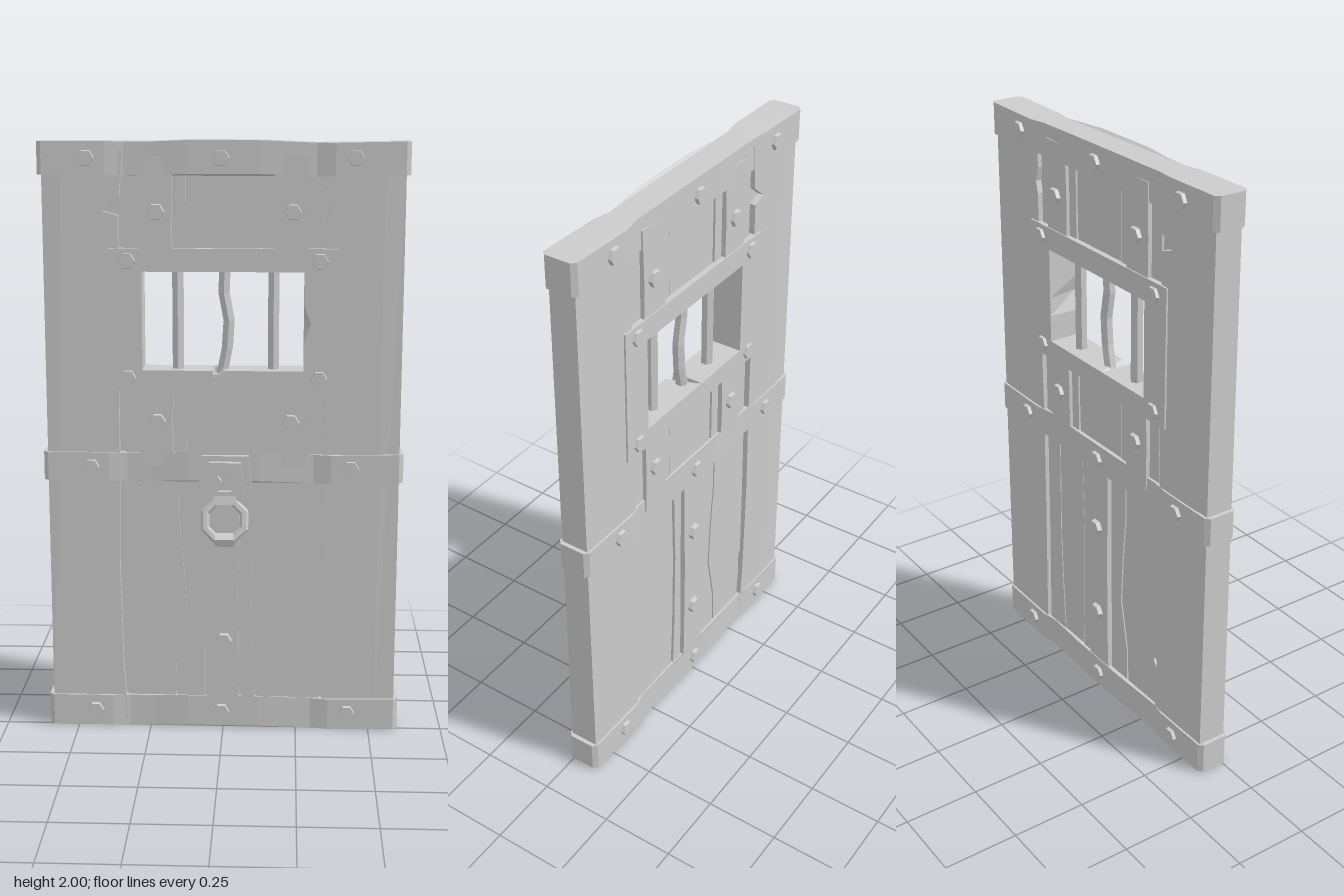
import * as THREE from 'three';

const MAT = new THREE.MeshStandardMaterial({ color: 0xcccccc, flatShading: true });
const MID = -0.04; // middle plane of the door

function add(parent, name, geo, x = 0, y = 0, z = 0) {
  const m = new THREE.Mesh(geo, MAT);
  m.name = name;
  m.position.set(x, y, z);
  parent.add(m);
  return m;
}
const shapeOf = pts => new THREE.Shape(pts.map(p => new THREE.Vector2(p[0], p[1])));
const pathOf = pts => new THREE.Path(pts.map(p => new THREE.Vector2(p[0], p[1])));
const rect = (x0, y0, x1, y1) => [[x0, y0], [x1, y0], [x1, y1], [x0, y1]];

// Flat outline given thickness from z0 to z1, optionally with holes
function slab(pts, z0, z1, ...holes) {
  const s = shapeOf(pts);
  holes.forEach(h => s.holes.push(pathOf(h)));
  return new THREE.ExtrudeGeometry(s, { depth: z1 - z0, bevelEnabled: false, curveSegments: 8 }).translate(0, 0, z0);
}
function moveVertices(geo, rule) {
  const p = geo.attributes.position, v = new THREE.Vector3();
  for (let i = 0; i < p.count; i++) {
    rule(v.fromBufferAttribute(p, i));
    p.setXYZ(i, v.x, v.y, v.z);
  }
  geo.computeVertexNormals();
  return geo;
}
// Plank between a left and a right edge, both listed bottom to top, symmetric about the middle plane
const plank = (left, right, half) => slab([...left, ...right.slice().reverse()], MID - half, MID + half);

// Linear interpolation through [x, value] pairs
function lerpTable(t, x) {
  for (let i = 1; i < t.length; i++) {
    if (x <= t[i][0]) {
      const [a, b] = [t[i - 1], t[i]];
      return a[1] + (b[1] - a[1]) * (x - a[0]) / (b[0] - a[0]);
    }
  }
  return t[t.length - 1][1];
}

// Metal band: plan outline pinched beside the middle, with wavy long edges
const BAND = [[-0.6, 0.043], [-0.585, 0.057], [-0.38, 0.057], [-0.32, 0.047], [-0.24, 0.049], [-0.12, 0.057],
  [0.12, 0.057], [0.3, 0.045], [0.36, 0.057], [0.585, 0.057], [0.6, 0.043]];
const WAVE = [[-0.6, 0], [-0.38, 0], [-0.28, -0.003], [-0.1, 0.004], [0.12, 0.003], [0.33, -0.006], [0.42, -0.002], [0.6, 0]];
function bandGeometry(y0, y1) {
  const outline = [...BAND.map(([x, h]) => [x, -MID - h]), ...BAND.slice().reverse().map(([x, h]) => [x, -MID + h])];
  const g = slab(outline, y0, y1).rotateX(-Math.PI / 2);
  return moveVertices(g, v => { v.y += lerpTable(WAVE, v.x); });
}

// Pair of hexagonal bolt heads, front and back
function bolts(parent, x, y, front, back) {
  for (const [z, s] of [[front, 1], [back, -1]]) {
    const g = new THREE.CylinderGeometry(0.026, 0.03, 0.02, 6).rotateY(Math.PI / 6).rotateX(s * Math.PI / 2);
    add(parent, 'bolt', g, x, y, z - s * 0.01);
  }
}

export function createModel() {
  const door = new THREE.Group();
  door.name = 'door';

  // Recessed core seen in the gaps between planks
  const opening = rect(-0.3, 1.22, 0.3, 1.61);
  add(door, 'core', slab(rect(-0.56, 0.03, 0.56, 1.97), MID - 0.03, MID + 0.03, opening));

  // Outer boards, faces easing back towards the outside edge
  const planks = new THREE.Group();
  planks.name = 'planks';
  door.add(planks);
  const edgeL = [[-0.33, 0.03], [-0.343, 0.25], [-0.35, 0.6], [-0.345, 0.95], [-0.345, 1.3], [-0.34, 1.76], [-0.39, 1.775], [-0.335, 1.82], [-0.325, 1.97]];
  const edgeR = [[0.34, 0.03], [0.336, 0.3], [0.332, 0.6], [0.33, 0.95], [0.335, 1.3], [0.335, 1.75], [0.345, 1.79], [0.33, 1.84], [0.335, 1.97]];
  for (const [s, edge] of [[-1, edgeL], [1, edgeR]]) {
    const inner = edge, mid = [[s * 0.52, 0.03], [s * 0.52, 1.97]];
    add(planks, 'outerBoard', s < 0 ? plank(mid, inner, 0.05) : plank(inner, mid, 0.05));
    const rim = new THREE.BoxGeometry(0.066, 1.94, 0.1);
    moveVertices(rim, v => { if (v.x * s > 0) v.z *= v.y > 0 ? 0.9 : 0.99; });
    add(planks, 'outerRim', rim, s * 0.553, 1.0, MID);
  }

  // Lower planks with uneven edges
  add(planks, 'lowerPlank', plank(
    [[-0.32, 0.03], [-0.333, 0.25], [-0.31, 0.29], [-0.34, 0.32], [-0.34, 0.6], [-0.335, 0.95]],
    [[-0.165, 0.03], [-0.16, 0.24], [-0.125, 0.42], [-0.135, 0.6], [-0.15, 0.75], [-0.15, 0.95]], 0.038));
  add(planks, 'lowerPlank', plank(
    [[-0.158, 0.03], [-0.153, 0.24], [-0.118, 0.42], [-0.128, 0.6], [-0.143, 0.75], [-0.143, 0.95]],
    [[-0.062, 0.03], [-0.062, 0.95]], 0.038));
  add(planks, 'lowerPlank', plank(
    [[0.062, 0.03], [0.062, 0.95]],
    [[0.112, 0.03], [0.1, 0.3], [0.095, 0.6], [0.105, 0.95]], 0.042));
  add(planks, 'lowerPlank', plank(
    [[0.12, 0.03], [0.108, 0.3], [0.103, 0.6], [0.113, 0.95]],
    [[0.225, 0.03], [0.24, 0.25], [0.25, 0.5], [0.245, 0.95]], 0.038));
  add(planks, 'lowerPlank', plank(
    [[0.225, 0.03], [0.24, 0.25], [0.25, 0.5], [0.245, 0.95]],
    [[0.33, 0.03], [0.326, 0.3], [0.322, 0.6], [0.32, 0.95]], 0.041));
  add(planks, 'centreStile', plank([[-0.058, 0.03], [-0.055, 0.5], [-0.06, 0.95]], [[0.055, 0.03], [0.05, 0.5], [0.058, 0.95]], 0.052));

  // Upper planks and stiles, above and below the window
  for (const [y0, y1] of [[0.93, 1.24], [1.6, 1.95]]) {
    const ym = (y0 + y1) / 2;
    for (const s of [-1, 1]) {
      add(planks, 'upperStile', slab([[s * 0.22 - 0.055, y0], [s * 0.22 + 0.056, y0], [s * 0.22 + 0.052, ym],
        [s * 0.22 + 0.058, y1], [s * 0.22 - 0.052, y1], [s * 0.22 - 0.057, ym]], MID - 0.052, MID + 0.052));
      add(planks, 'upperPlank', slab(rect(s * 0.3 - 0.026, y0, s * 0.3 + 0.026, y1), MID - 0.038, MID + 0.038));
    }
    add(planks, 'upperPlank', slab(rect(-0.16, y0, -0.122, y1), MID - 0.04, MID + 0.04));
    add(planks, 'upperPlank', slab([[-0.115, y0], [0.118, y0], [0.122, ym], [0.118, y1], [-0.115, y1]], MID - 0.037, MID + 0.037));
    add(planks, 'upperPlank', slab(rect(0.126, y0, 0.165, y1), MID - 0.04, MID + 0.04));
  }

  // Window frame, chipped on its front edges
  const hole = [[-0.265, 1.255], [-0.035, 1.255], [-0.03, 1.2549], [0.01, 1.255], [0.265, 1.255],
    [0.265, 1.345], [0.2651, 1.41], [0.265, 1.475], [0.265, 1.58], [-0.265, 1.58]];
  const frame = slab(rect(-0.375, 1.19, 0.375, 1.655), MID - 0.056, MID + 0.056, hole);
  moveVertices(frame, v => {
    if (v.z < MID) return;
    if (Math.abs(v.y - 1.41) < 0.001) v.x = 0.287;
    if (Math.abs(v.x + 0.03) < 0.001) v.y = 1.215;
  });
  add(door, 'windowFrame', frame);

  // Window bars, the middle one bent
  for (const x of [-0.15, 0.165]) add(door, 'windowBar', new THREE.CylinderGeometry(0.021, 0.021, 0.37, 6), x, 1.417, MID);
  const bend = [[1.235, -0.005], [1.32, 0.012], [1.4, 0.022], [1.5, 0.001], [1.6, 0.005]];
  const bent = new THREE.CylinderGeometry(0.021, 0.021, 0.365, 6, 4).translate(0, 1.417, 0);
  add(door, 'bentBar', moveVertices(bent, v => { v.x += lerpTable(bend, v.y); }), 0, 0, MID);

  // Three bands with their bolts
  for (const [y0, y1, yb] of [[0.007, 0.115, 0.063], [0.88, 0.977, 0.928], [1.89, 1.996, 1.943]]) {
    add(door, 'band', bandGeometry(y0, y1));
    for (const x of [-0.44, -0.006, 0.425]) bolts(door, x, yb, 0.028, -0.109);
  }
  for (const y of [0.32, 0.66]) bolts(door, 0.002, y, 0.028, -0.108);
  for (const x of [-0.217, 0.225]) for (const y of [1.083, 1.773]) bolts(door, x, y, 0.025, -0.105);
  for (const x of [-0.313, 0.315]) for (const y of [1.23, 1.615]) bolts(door, x, y, 0.027, -0.106);

  // Lock plate with a raised face and keyhole
  const lock = new THREE.Group();
  lock.name = 'lock';
  lock.position.set(0.008, 0, 0);
  door.add(lock);
  const plate = [[-0.06, 0.785], [0.06, 0.785], [0.09, 0.85], [0.078, 0.972], [-0.078, 0.972], [-0.09, 0.85]];
  add(lock, 'lockPlate', slab(plate, 0.005, 0.036));
  const raised = plate.map(([x, y]) => [x * 0.68, 0.88 + (y - 0.88) * 0.8]);
  const key = [[-0.022, 0.855], [0.022, 0.855], [0.011, 0.89], [0.024, 0.908], [0.016, 0.93], [-0.016, 0.93], [-0.024, 0.908], [-0.011, 0.89]];
  add(lock, 'lockFace', slab(raised, 0.03, 0.058, key));

  // Hanging pull ring, tilted outwards
  const pull = new THREE.Group();
  pull.name = 'pullRing';
  pull.position.set(0, 0.825, 0.052);
  pull.rotation.x = -0.25;
  lock.add(pull);
  add(pull, 'ring', new THREE.TorusGeometry(0.07, 0.015, 6, 8).rotateZ(Math.PI / 8), 0, -0.066, 0);
  add(pull, 'ringGrip', new THREE.CylinderGeometry(0.026, 0.026, 0.06, 6).rotateZ(Math.PI / 2), 0, -0.131, 0);
  add(pull, 'ringHinge', new THREE.BoxGeometry(0.075, 0.03, 0.035), 0, 0, 0);

  return door;
}
